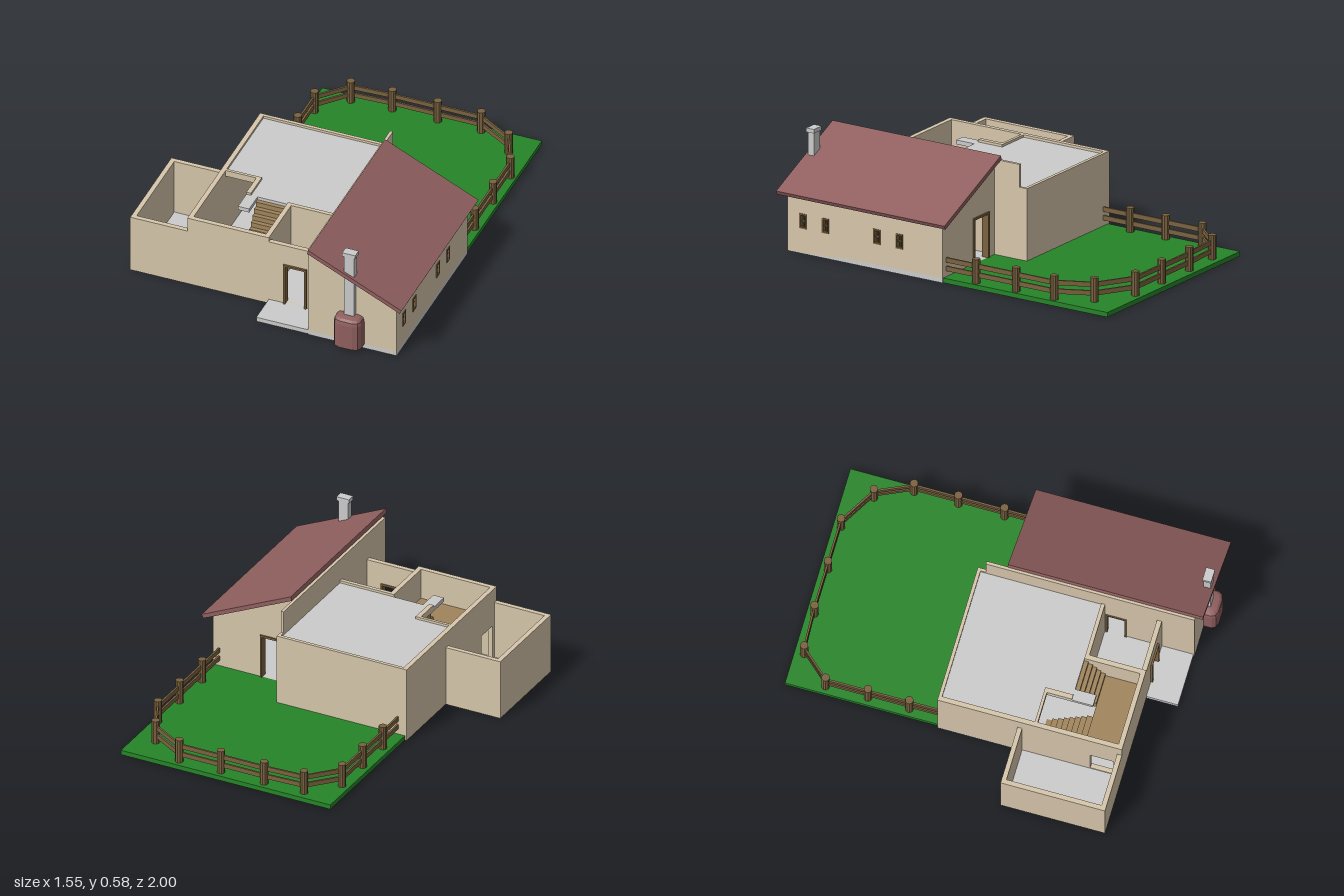
import * as THREE from 'three';

const GREY = 0xcccccc, WALL = 0xd6c6ab, RED = 0x905f5f, GRASS = 0x268529, STEP = 0xa0855c, WOOD = 0x7a623f;
const materials = {};
const mat = (c) => (materials[c] ??= new THREE.MeshStandardMaterial({ color: c, flatShading: true }));

export function createModel() {
  const model = new THREE.Group();

  function add(name, color, geometry, parent = model) {
    const mesh = new THREE.Mesh(geometry, mat(color));
    mesh.name = name;
    parent.add(mesh);
    return mesh;
  }
  // Box given by its limits on each axis
  function box(name, color, [x0, x1], [y0, y1], [z0, z1], parent = model) {
    const m = add(name, color, new THREE.BoxGeometry(x1 - x0, y1 - y0, z1 - z0), parent);
    m.position.set((x0 + x1) / 2, (y0 + y1) / 2, (z0 + z1) / 2);
    return m;
  }
  // Outline with rectangular holes [u0, u1, v0, v1], extruded
  function panel(points, holes, depth) {
    const s = new THREE.Shape(points.map(([u, v]) => new THREE.Vector2(u, v)));
    for (const [a, b, c, d] of holes) {
      s.holes.push(new THREE.Path([[a, c], [a, d], [b, d], [b, c]].map(([u, v]) => new THREE.Vector2(u, v))));
    }
    return new THREE.ExtrudeGeometry(s, { depth, bevelEnabled: false });
  }
  const rect = (u0, u1, v0, v1) => [[u0, v0], [u1, v0], [u1, v1], [u0, v1]];
  // Wall facing z
  function wallZ(name, color, points, holes, [z0, z1], parent) {
    return add(name, color, panel(points, holes, z1 - z0).translate(0, 0, z0), parent);
  }
  // Wall facing x, outline limits and holes given in z and y
  function wallX(name, color, [z0, z1, y0, y1], holes, [x0, x1], parent) {
    const flip = holes.map(([a, b, c, d]) => [-b, -a, c, d]);
    const g = panel(rect(-z1, -z0, y0, y1), flip, x1 - x0).rotateY(Math.PI / 2).translate(x0, 0, 0);
    return add(name, color, g, parent);
  }
  // Door surround: two jambs and a lintel
  const frameOutline = (a, b, y0, y1, t) =>
    [[a, y0], [a + t, y0], [a + t, y1 - t], [b - t, y1 - t], [b - t, y0], [b, y0], [b, y1], [a, y1]];

  // Ground floor slabs and lawn
  box('mainFloor', GREY, [-0.47, 0.265], [0, 0.012], [-0.2, 0.75]);
  box('annexFloor', GREY, [-0.77, -0.46], [0, 0.012], [0.22, 0.75]);
  box('porchFloor', GREY, [-0.03, 0.26], [0, 0.025], [0.45, 0.92]);
  box('houseFloor', GREY, [0.25, 0.73], [0, 0.025], [-0.01, 0.925]);
  box('lawn', GRASS, [-0.46, 0.725], [0, 0.025], [-1, -0.2]);
  box('sideLawn', GRASS, [0.265, 0.725], [0, 0.025], [-0.2, -0.01]);

  // Flat-roofed main block
  const main = new THREE.Group();
  main.name = 'mainBlock';
  model.add(main);
  const H = 0.405;
  box('backWall', WALL, [-0.47, 0.265], [0, H], [-0.205, -0.187], main);
  wallX('sideWall', WALL, [-0.205, 0.755, 0, H], [[0.59, 0.71, 0.02, 0.2]], [-0.47, -0.445], main);
  box('frontWall', WALL, [-0.47, -0.03], [0, H], [0.73, 0.755], main);
  box('eastWall', WALL, [0.25, 0.265], [0, H], [-0.205, -0.15], main);
  box('innerWall', WALL, [-0.055, 0.25], [0, H], [0.44, 0.46], main);
  box('entrySideWall', WALL, [-0.055, -0.03], [0, H], [0.44, 0.755], main);
  wallZ('entryFrontWall', WALL, rect(-0.03, 0.25, 0, 0.38), [[0.06, 0.165, 0.025, 0.255]], [0.73, 0.755], main);
  wallZ('entryDoorFrame', WOOD, frameOutline(0.05, 0.175, 0.025, 0.265, 0.011), [], [0.726, 0.765], main);

  // Flat roof with a cut-out and a tongue between the two stair flights
  const roofPts = [[-0.45, -0.19], [0.25, -0.19], [0.25, 0.44], [-0.22, 0.44], [-0.22, 0.55],
    [-0.28, 0.55], [-0.28, 0.3], [-0.45, 0.3]];
  add('flatRoof', GREY, panel(roofPts, [], 0.022).rotateX(Math.PI / 2).translate(0, 0.392, 0), main);
  box('stairBackRim', WALL, [-0.445, -0.255], [0.37, H], [0.295, 0.31], main);
  box('stairSideRim', WALL, [-0.28, -0.255], [0.37, H], [0.295, 0.44], main);

  // Two stair flights joined by a landing
  const stairs = new THREE.Group();
  stairs.name = 'stairs';
  model.add(stairs);
  const rise = 0.03;
  for (let i = 0; i < 8; i++) {
    const z = 0.31 + i * 0.03, y = (i + 1) * rise - 0.012;
    box('lowerStep', STEP, [-0.445, -0.28], [Math.max(0.005, y - 0.06), y], [z, z + 0.032], stairs);
  }
  box('landing', STEP, [-0.445, -0.055], [0.215, 0.24], [0.55, 0.73], stairs);
  for (let i = 0; i < 5; i++) {
    const z = 0.55 - i * 0.022, y = 0.24 + (i + 1) * 0.027;
    box('upperStep', STEP, [-0.22, -0.055], [y - 0.05, y], [z - 0.024, z], stairs);
  }

  // Open-topped annex
  const annex = new THREE.Group();
  annex.name = 'annex';
  model.add(annex);
  box('annexBackWall', WALL, [-0.778, -0.47], [0, 0.325], [0.212, 0.236], annex);
  box('annexFrontWall', WALL, [-0.778, -0.47], [0, 0.325], [0.73, 0.755], annex);
  box('annexSideWall', WALL, [-0.778, -0.753], [0, 0.325], [0.212, 0.755], annex);

  // Tall house with a single sloping roof
  const house = new THREE.Group();
  house.name = 'house';
  model.add(house);
  const gable = [[0.25, 0], [0.73, 0], [0.73, 0.304], [0.25, 0.525]];
  const windowZ = [0.83, 0.695, 0.385, 0.25];
  wallZ('houseFrontWall', WALL, gable, [], [0.9, 0.925], house);
  wallZ('houseBackWall', WALL, gable, [[0.33, 0.45, 0.025, 0.255]], [-0.01, 0.015], house);
  wallZ('backDoorFrame', WOOD, frameOutline(0.32, 0.46, 0.025, 0.265, 0.011), [], [-0.018, 0.02], house);
  wallX('tallWall', WALL, [-0.16, 0.925, 0, 0.525], [[0.47, 0.565, 0.025, 0.255]], [0.25, 0.266], house);
  const innerFrame = panel(frameOutline(-0.572, -0.463, 0.025, 0.265, 0.01), [], 0.028);
  add('innerDoorFrame', WOOD, innerFrame.rotateY(Math.PI / 2).translate(0.244, 0, 0), house);
  wallX('windowWall', WALL, [-0.01, 0.925, 0, 0.304],
    windowZ.map((z) => [z - 0.017, z + 0.017, 0.137, 0.205]), [0.71, 0.73], house);
  for (const z of windowZ) {
    wallX('windowFrame', WOOD, [z - 0.021, z + 0.021, 0.132, 0.21],
      [[z - 0.014, z + 0.014, 0.14, 0.202]], [0.706, 0.734], house);
    box('windowMullion', WOOD, [0.716, 0.726], [0.137, 0.205], [z - 0.003, z + 0.003], house);
    box('windowBar', WOOD, [0.716, 0.726], [0.168, 0.174], [z - 0.017, z + 0.017], house);
  }
  wallZ('slopedRoof', RED, [[0.262, 0.53], [0.763, 0.297], [0.773, 0.317], [0.268, 0.552]], [], [-0.05, 0.965], house);

  // Rounded hearth and chimney on the front wall
  const chimney = new THREE.Group();
  chimney.name = 'chimney';
  model.add(chimney);
  const rings = [[0.025, 1], [0.165, 1], [0.185, 0.95], [0.195, 0.8], [0.2, 0.5]];
  const plan = [[-0.073, 0], [-0.073, 0.045], [-0.062, 0.065], [-0.035, 0.075],
    [0.035, 0.075], [0.062, 0.065], [0.073, 0.045], [0.073, 0]];
  const pos = [], idx = [], n = plan.length;
  for (const [y, s] of rings) for (const [x, z] of plan) pos.push(0.482 + x * s, y, 0.922 + z * s);
  for (let r = 0; r < rings.length - 1; r++) {
    for (let i = 0; i < n; i++) {
      const a = r * n + i, b = r * n + (i + 1) % n;
      idx.push(a, b, b + n, a, b + n, a + n);
    }
  }
  const top = (rings.length - 1) * n;
  for (let i = 1; i < n - 1; i++) idx.push(top, top + i, top + i + 1, 0, i + 1, i);
  const hearth = new THREE.BufferGeometry();
  hearth.setAttribute('position', new THREE.Float32BufferAttribute(pos, 3));
  hearth.setIndex(idx);
  hearth.computeVertexNormals();
  add('hearth', RED, hearth, chimney);
  box('stack', GREY, [0.456, 0.51], [0.19, 0.565], [0.914, 0.95], chimney);
  box('stackCap', GREY, [0.448, 0.518], [0.56, 0.581], [0.909, 0.955], chimney);

  // Post and rail fence around the lawn
  const fence = new THREE.Group();
  fence.name = 'fence';
  model.add(fence);
  const line = [[-0.42, -0.2], [-0.42, -0.365], [-0.42, -0.58], [-0.42, -0.8], [-0.285, -0.95], [-0.065, -0.96],
    [0.18, -0.96], [0.415, -0.96], [0.61, -0.845], [0.695, -0.66], [0.695, -0.43], [0.695, -0.19], [0.695, -0.01]];
  line.forEach(([x, z], i) => {
    if (i > 0 && i < line.length - 1) {
      add('fencePost', WOOD, new THREE.CylinderGeometry(0.021, 0.021, 0.13, 10), fence).position.set(x, 0.087, z);
    }
    if (i === line.length - 1) return;
    const [x2, z2] = line[i + 1];
    for (const y of [0.068, 0.113]) {
      const g = new THREE.BoxGeometry(0.01, 0.025, Math.hypot(x2 - x, z2 - z));
      const rail = add('fenceRail', WOOD, g, fence);
      rail.position.set((x + x2) / 2, y, (z + z2) / 2);
      rail.rotation.y = Math.atan2(x2 - x, z2 - z);
    }
  });

  return model;
}
